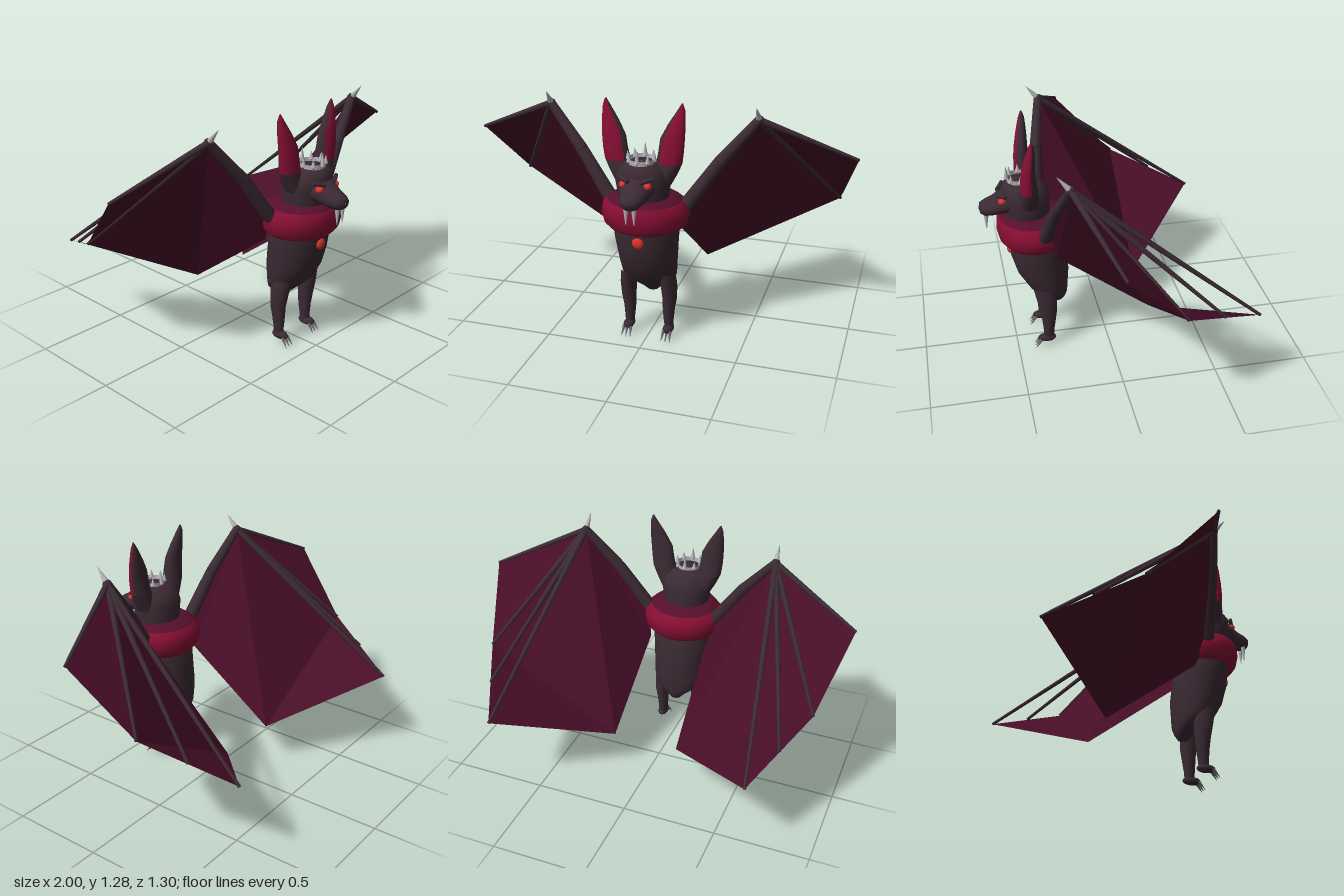
import * as THREE from 'three';

const mat = (name, color, extra = {}) => Object.assign(new THREE.MeshStandardMaterial({ color, ...extra }), { name });

export function createModel() {
  const root = new THREE.Group();
  root.name = 'crownedBat';
  const fur = mat('dark fur', 0x3b2a33);
  const skin = mat('wing membrane', 0x480e28, { side: THREE.DoubleSide });
  const red = mat('crimson', 0x860e33);
  const deep = mat('deep crimson', 0x560f2c);
  const glow = mat('bright red', 0xe0322a);
  const silver = mat('silver', 0xb4b6bc);
  const claw = mat('grey claw', 0x6e6a70);

  const V = (x, y, z) => new THREE.Vector3(x, y, z);
  const add = (name, geo, material, parent = root) => {
    const m = new THREE.Mesh(geo, material);
    m.name = name;
    parent.add(m);
    return m;
  };

  // Ellipse loft: sections are [position, centre x, other centre, radius x, other radius]
  function loft(sections, { axis = 'y', side = 1, from = 0, to = Math.PI * 2, n = 24 } = {}) {
    const pos = [], idx = [];
    const full = to - from > 6.28;
    const cols = full ? n : n + 1;
    for (const [p, cx, c, rx, r] of sections) {
      for (let j = 0; j < cols; j++) {
        const t = from + (to - from) * j / n;
        const x = side * (cx + rx * Math.cos(t)), q = c + r * Math.sin(t);
        if (axis === 'y') pos.push(x, p, q);
        else pos.push(x, q, p);
      }
    }
    const flip = (side < 0) !== (axis === 'z');
    for (let i = 0; i < sections.length - 1; i++) {
      for (let j = 0; j < n; j++) {
        const k = (j + 1) % cols;
        const a = i * cols + j, b = i * cols + k, d = a + cols, e = b + cols;
        if (flip) idx.push(a, b, d, b, e, d);
        else idx.push(a, d, b, b, d, e);
      }
    }
    const g = new THREE.BufferGeometry();
    g.setAttribute('position', new THREE.Float32BufferAttribute(pos, 3));
    g.setIndex(idx);
    g.computeVertexNormals();
    return g;
  }

  // Tapered rod from a to b
  function rod(name, a, b, r0, r1, material, parent = root, sides = 10) {
    const d = b.clone().sub(a);
    const m = add(name, new THREE.CylinderGeometry(r1, r0, d.length(), sides), material, parent);
    m.position.copy(a).addScaledVector(d, 0.5);
    m.quaternion.setFromUnitVectors(V(0, 1, 0), d.normalize());
    return m;
  }

  function ball(name, p, r, material, parent = root) {
    const m = add(name, new THREE.SphereGeometry(1, 18, 12), material, parent);
    m.position.copy(p);
    m.scale.set(...r);
    return m;
  }

  // Torso
  add('body', loft([
    [0.232, 0, 0.262, 0.003, 0.003], [0.238, 0, 0.262, 0.03, 0.028], [0.265, 0, 0.268, 0.055, 0.05],
    [0.31, 0, 0.29, 0.118, 0.08], [0.36, 0, 0.315, 0.142, 0.108], [0.45, 0, 0.338, 0.15, 0.138],
    [0.55, 0, 0.358, 0.16, 0.146], [0.65, 0, 0.37, 0.17, 0.146], [0.76, 0, 0.39, 0.15, 0.13],
  ]), fur);

  // Fluffy collar with a deeper coloured inner rim
  add('collar', loft([
    [0.65, 0, 0.375, 0.14, 0.13], [0.645, 0, 0.375, 0.185, 0.165], [0.67, 0, 0.375, 0.21, 0.185],
    [0.72, 0, 0.375, 0.222, 0.196], [0.765, 0, 0.378, 0.212, 0.19], [0.79, 0, 0.385, 0.185, 0.17],
  ], { n: 32 }), red);
  add('collarRim', loft([
    [0.79, 0, 0.385, 0.185, 0.17], [0.812, 0, 0.395, 0.155, 0.145], [0.815, 0, 0.405, 0.11, 0.11],
  ], { n: 32 }), deep);

  // Head and muzzle
  add('head', loft([
    [0.76, 0, 0.4, 0.12, 0.115], [0.83, 0, 0.41, 0.128, 0.118], [0.9, 0, 0.412, 0.138, 0.124],
    [0.95, 0, 0.42, 0.125, 0.118], [0.985, 0, 0.43, 0.09, 0.088], [0.998, 0, 0.435, 0.05, 0.05],
    [1.0, 0, 0.435, 0.003, 0.003],
  ]), fur);
  add('muzzle', loft([
    [0.42, 0, 0.89, 0.11, 0.075], [0.52, 0, 0.885, 0.085, 0.064], [0.58, 0, 0.86, 0.062, 0.05],
    [0.625, 0, 0.85, 0.051, 0.041], [0.648, 0, 0.85, 0.033, 0.028], [0.654, 0, 0.85, 0.003, 0.003],
  ], { axis: 'z' }), fur);

  // Pendant gem
  ball('pendant', V(0, 0.595, 0.506), [0.03, 0.031, 0.018], glow);

  // Crown: open band with spikes and small gems
  const crown = new THREE.Group();
  crown.name = 'crown';
  root.add(crown);
  const silverBand = mat('silver band', 0xb4b6bc, { side: THREE.DoubleSide });
  const band = add('crownBand', new THREE.CylinderGeometry(0.066, 0.064, 0.035, 24, 1, true), silverBand, crown);
  band.position.set(0, 0.998, 0.44);
  for (let i = 0; i < 8; i++) {
    const t = i * Math.PI / 4;
    const x = 0.065 * Math.sin(t), z = 0.44 + 0.065 * Math.cos(t);
    rod('crownSpike', V(x, 1.005, z), V(x * 1.05, i % 4 ? 1.045 : 1.072, z), 0.013, 0.001, silver, crown, 8);
    ball('crownGem', V(x * 1.04, 1.0, 0.44 + (z - 0.44) * 1.04), [0.005, 0.005, 0.005], glow, crown);
  }

  const earSections = [
    [0.99, 0.13, 0.407, 0.064, 0.045], [1.05, 0.14, 0.41, 0.062, 0.04], [1.11, 0.146, 0.409, 0.06, 0.034],
    [1.18, 0.165, 0.402, 0.043, 0.027], [1.25, 0.185, 0.395, 0.019, 0.016], [1.285, 0.19, 0.394, 0.003, 0.003],
  ];

  for (const s of [1, -1]) {
    const P = (x, y, z) => V(s * x, y, z);
    const label = s > 0 ? 'left' : 'right';

    // Face details
    ball(label + 'Eye', P(0.06, 0.908, 0.538), [0.02, 0.017, 0.02], glow);
    rod(label + 'Brow', P(0.03, 0.928, 0.553), P(0.088, 0.942, 0.522), 0.012, 0.01, fur);
    rod(label + 'Fang', P(0.02, 0.82, 0.62), P(0.02, 0.738, 0.622), 0.013, 0.002, silver);

    // Ears: red hollow facing forward and outward
    const ear = new THREE.Group();
    ear.name = label + 'Ear';
    root.add(ear);
    const a = -0.2, b = 2.35;
    add('earBase', loft([[0.88, 0.09, 0.405, 0.05, 0.055], [0.94, 0.11, 0.407, 0.062, 0.052], earSections[0]],
      { side: s }), fur, ear);
    add('earBack', loft(earSections, { side: s, from: b, to: a + Math.PI * 2, n: 14 }), fur, ear);
    add('earInner', loft(earSections, { side: s, from: a, to: b, n: 10 }), red, ear);

    // Legs, feet and toe claws
    const leg = new THREE.Group();
    leg.name = label + 'Leg';
    root.add(leg);
    add('leg', loft([
      [0.04, 0.107, 0.33, 0.02, 0.025], [0.1, 0.105, 0.33, 0.026, 0.029], [0.16, 0.105, 0.328, 0.031, 0.036],
      [0.22, 0.11, 0.328, 0.037, 0.043], [0.3, 0.108, 0.335, 0.042, 0.053], [0.38, 0.1, 0.345, 0.04, 0.06],
    ], { side: s, n: 16 }), fur, leg);
    ball('foot', P(0.107, 0.055, 0.342), [0.028, 0.022, 0.05], fur, leg);
    for (const dx of [-0.018, 0, 0.018])
      rod('toeClaw', P(0.107 + dx, 0.052, 0.375), P(0.107 + dx * 1.3, 0.006, 0.408), 0.009, 0.001, claw, leg, 8);

    // Wing landmarks
    const wing = new THREE.Group();
    wing.name = label + 'Wing';
    root.add(wing);
    const S = P(0.2, 0.76, 0.34), W = P(0.53, 1.195, 0.262), A = P(0.995, 0.985, 0.1);
    const B = P(0.89, 0.66, -0.215), C = P(0.685, 0.48, -0.645), D = P(0.787, 0.572, -0.43);
    const E = P(0.177, 0.24, -0.205), F = P(0.16, 0.6, 0.28);

    // Membrane folded along wrist-to-trailing corner and across the outer panel
    const g = new THREE.BufferGeometry().setFromPoints([W, A, B, W, B, E, B, C, E, W, E, F, W, F, S]);
    g.computeVertexNormals();
    add('membrane', g, skin, wing);

    // Arm, finger bones and thumb claw
    const mid = P(0.355, 0.985, 0.308);
    ball('shoulder', S, [0.037, 0.037, 0.037], fur, wing);
    rod('upperArm', S, mid, 0.037, 0.031, fur, wing, 14);
    rod('forearm', mid, W, 0.031, 0.022, fur, wing, 14);
    ball('wrist', W, [0.023, 0.023, 0.023], fur, wing);
    for (const tip of [A, B, C, D]) rod('fingerBone', W, tip, 0.017, 0.008, fur, wing);
    rod('thumbClaw', W, P(0.527, 1.27, 0.325), 0.018, 0.001, silver, wing);
  }
  return root;
}
